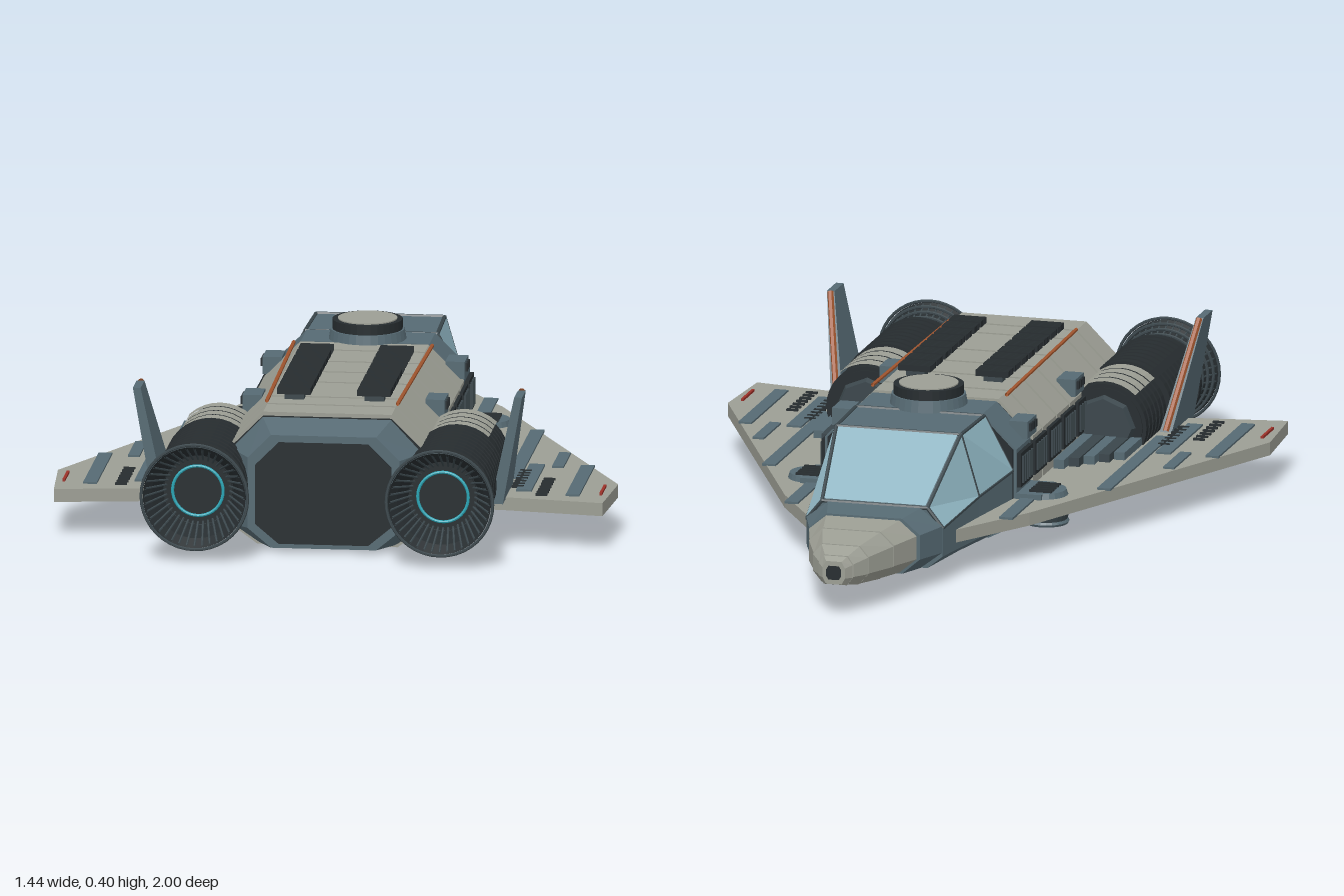
import * as THREE from 'three';

const mat = (color) => new THREE.MeshStandardMaterial({ color, flatShading: true, side: THREE.DoubleSide });
const GREY = mat(0x9c9e94), BLUE = mat(0x566a73), DARK = mat(0x262c2f), GLASS = mat(0x8fb5c2),
  ORANGE = mat(0xa3562f), TEAL = mat(0x2aa5b5), STEEL = mat(0x3a464b), RED = mat(0x9c3028);

function add(parent, name, geo, material, x = 0, y = 0, z = 0) {
  const m = new THREE.Mesh(geo, material);
  m.name = name;
  m.position.set(x, y, z);
  parent.add(m);
  return m;
}
const box = (p, name, material, w, h, d, x, y, z) => add(p, name, new THREE.BoxGeometry(w, h, d), material, x, y, z);
// cylinder along z, r1 at the +z end
const drum = (r1, r2, len, n = 32) => new THREE.CylinderGeometry(r1, r2, len, n).rotateX(Math.PI / 2);

// eight-sided section: half width, bottom, top, half widths of the flat top and bottom, shoulder and chine heights
const oct = (z, w, y0, y1, t, b, sh, ch) => [
  [w, ch, z], [w, sh, z], [t, y1, z], [-t, y1, z], [-w, sh, z], [-w, ch, z], [-b, y0, z], [b, y0, z]];

// skin over sections given in order of increasing z
function loft(sections) {
  const pos = [], tri = (...p) => p.forEach((v) => pos.push(...v));
  const n = sections[0].length;
  for (let k = 0; k + 1 < sections.length; k++) {
    const a = sections[k], c = sections[k + 1];
    for (let i = 0; i < n; i++) {
      const j = (i + 1) % n;
      tri(a[i], a[j], c[j]);
      tri(a[i], c[j], c[i]);
    }
  }
  const lo = sections[0], hi = sections[sections.length - 1];
  for (let i = 1; i + 1 < n; i++) {
    tri(lo[0], lo[i + 1], lo[i]);
    tri(hi[0], hi[i], hi[i + 1]);
  }
  const g = new THREE.BufferGeometry();
  g.setAttribute('position', new THREE.Float32BufferAttribute(pos, 3));
  g.computeVertexNormals();
  return g;
}

// thin plate on four corners, lifted off the skin below
function panel(p, name, corners, material, inset = 0.04, lift = 0.004) {
  const v = corners.map((c) => new THREE.Vector3(...c));
  const mid = v.reduce((s, q) => s.add(q), new THREE.Vector3()).divideScalar(4);
  const n = v[2].clone().sub(v[0]).cross(v[3].clone().sub(v[1])).normalize().multiplyScalar(lift);
  const q = v.map((c) => c.clone().lerp(mid, inset).add(n).toArray());
  const g = new THREE.BufferGeometry();
  g.setAttribute('position', new THREE.Float32BufferAttribute([0, 1, 2, 0, 2, 3].flatMap((i) => q[i]), 3));
  g.computeVertexNormals();
  add(p, name, g, material);
}
function strut(p, name, a, b, r, material) {
  const line = new THREE.LineCurve3(new THREE.Vector3(...a), new THREE.Vector3(...b));
  add(p, name, new THREE.TubeGeometry(line, 1, r, 6), material);
}

function buildHull(g) {
  // main body: dark core with plated bands
  const body = (z, o = 0) => oct(z, 0.25 + o, 0.006 - o + Math.max(0, 0.2 - z) * 0.04, 0.34 + o, 0.165, 0.18, 0.255, 0.055);
  add(g, 'hullCore', loft([body(-0.2, -0.004), body(0.77, -0.004)]), DARK);
  const edges = [-0.055, 0.04, 0.17, 0.29, 0.41, 0.58, 0.67, 0.77];
  for (let i = 0; i + 1 < edges.length; i++)
    add(g, 'hullBand', loft([body(edges[i] + 0.006, 0.006), body(edges[i + 1] - 0.006, 0.006)]), GREY);
  add(g, 'cockpitCollar', loft([body(-0.195, 0.004), body(-0.065, 0.004)]), BLUE);

  // tail block and its end plate
  const tail = (z, w, y0, y1) => oct(z, w, y0, y1, w - 0.06, w - 0.06, y1 - 0.06, y0 + 0.05);
  add(g, 'tailBlock', loft([oct(0.775, 0.245, 0.008, 0.335, 0.165, 0.175, 0.25, 0.055), tail(0.85, 0.195, 0.01, 0.305)]), BLUE);
  add(g, 'tailPlate', loft([tail(0.84, 0.175, 0.022, 0.287), tail(0.856, 0.175, 0.022, 0.287)]), DARK);

  // cockpit, blue with glazed upper faces
  const c0 = oct(-0.62, 0.18, 0.042, 0.2, 0.14, 0.14, 0.15, 0.075);
  const c1 = oct(-0.4, 0.212, 0.034, 0.34, 0.165, 0.16, 0.18, 0.07);
  const c2 = oct(-0.2, 0.245, 0.022, 0.34, 0.17, 0.18, 0.2, 0.06);
  add(g, 'cockpit', loft([c0, c1, c2]), BLUE);
  panel(g, 'windscreen', [c0[2], c0[3], c1[3], c1[2]], GLASS);
  for (const [i, j] of [[1, 2], [3, 4]]) {
    panel(g, 'sideWindow', [c0[i], c0[j], c1[j], c1[i]], GLASS);
    panel(g, 'rearSideWindow', [c1[i], c1[j], c2[j], c2[i]], GLASS);
  }
  for (const i of [1, 2, 3, 4]) {
    strut(g, 'windowFrame', c0[i], c1[i], 0.005, STEEL);
    strut(g, 'windowFrame', c1[i], c2[i], 0.005, STEEL);
  }
  for (const c of [c0, c1, c2])
    for (const i of [1, 2, 3]) strut(g, 'windowFrame', c[i], c[i + 1], 0.005, STEEL);

  // nose rings, growing from the tip
  const nose = (z, w, y0, y1) => oct(z, w, y0, y1, w * 0.68, w * 0.68, y0 + (y1 - y0) * 0.72, y0 + (y1 - y0) * 0.28);
  add(g, 'noseCollar', loft([nose(-0.715, 0.147, 0.048, 0.193), nose(-0.625, 0.18, 0.042, 0.2)]), BLUE);
  add(g, 'noseCore', loft([nose(-0.995, 0.026, 0.09, 0.14), nose(-0.83, 0.1, 0.068, 0.175), nose(-0.6, 0.15, 0.06, 0.18)]), DARK);
  const rings = [[-1, 0.03, 0.085, 0.145], [-0.975, 0.045, 0.08, 0.155], [-0.93, 0.073, 0.073, 0.172],
    [-0.83, 0.112, 0.064, 0.186], [-0.722, 0.143, 0.055, 0.192]];
  for (let i = 0; i < 4; i++) {
    const a = rings[i].slice(), b = rings[i + 1].slice();
    b[0] -= 0.008;
    add(g, 'noseRing', loft([nose(...a), nose(...b)]), GREY);
  }
  add(g, 'noseCap', loft([nose(-1.002, 0.02, 0.097, 0.133), nose(-0.99, 0.02, 0.097, 0.133)]), DARK);

  // roof hatch
  add(g, 'hatchBase', new THREE.CylinderGeometry(0.095, 0.1, 0.03, 32), BLUE, 0, 0.355, -0.12);
  add(g, 'hatchRim', new THREE.CylinderGeometry(0.09, 0.09, 0.03, 32), DARK, 0, 0.38, -0.12);
  add(g, 'hatchLid', new THREE.CylinderGeometry(0.076, 0.076, 0.01, 32), GREY, 0, 0.393, -0.12);
}

function buildSide(g) {
  // roof radiators and pipe
  for (let i = 0; i < 8; i++) {
    const z = 0.13 + i * 0.067;
    box(g, 'radiatorFoot', STEEL, 0.05, 0.025, 0.03, 0.103, 0.353, z);
    for (let k = -2; k <= 2; k++) box(g, 'radiatorSlat', DARK, 0.086, 0.016, 0.007, 0.103, 0.369, z + k * 0.011);
  }
  strut(g, 'roofPipe', [0.178, 0.351, -0.02], [0.168, 0.351, 0.66], 0.005, ORANGE);

  // side vents and shoulder boxes
  for (let i = 0; i < 5; i++) {
    const z = -0.135 + i * 0.133;
    box(g, 'ventFrame', DARK, 0.02, 0.09, 0.11, 0.255, 0.2, z);
    for (let k = -2; k <= 2; k++) box(g, 'ventSlat', STEEL, 0.014, 0.07, 0.008, 0.263, 0.2, z + k * 0.02);
  }
  for (const z of [-0.07, 0.37]) {
    box(g, 'shoulderBox', BLUE, 0.05, 0.045, 0.08, 0.235, 0.285, z);
    for (let k = -1; k <= 1; k++) box(g, 'boxStud', DARK, 0.008, 0.02, 0.012, 0.262, 0.29, z + k * 0.022);
  }

  // wing
  const plan = [[0.15, -0.56], [0.19, -0.54], [0.325, -0.32], [0.72, 0.53], [0.705, 0.75], [0.45, 0.71], [0.2, 0.69]];
  const wing = new THREE.ExtrudeGeometry(new THREE.Shape(plan.map((p) => new THREE.Vector2(...p))),
    { depth: 0.034, bevelEnabled: false }).rotateX(Math.PI / 2);
  add(g, 'wing', wing, GREY, 0, 0.126, 0);

  // wing strips: x, start z, end z, width
  for (const [x, z0, z1, w] of [[0.62, 0.34, 0.68, 0.035], [0.49, 0.34, 0.64, 0.04], [0.445, -0.05, 0.5, 0.036],
    [0.285, -0.4, -0.2, 0.036], [0.545, 0.2, 0.36, 0.03]])
    box(g, 'wingStrip', BLUE, w, 0.006, z1 - z0, x, 0.128, (z0 + z1) / 2);
  for (let i = 0; i < 5; i++)
    box(g, 'wingRootStep', i % 2 ? STEEL : BLUE, 0.028, 0.03, 0.29 - i * 0.03, 0.275 + i * 0.031, 0.135 - i * 0.001, 0.27 + i * 0.017);
  for (let i = 0; i < 7; i++) {
    box(g, 'wingSlot', DARK, 0.03, 0.006, 0.009, 0.54, 0.128, 0.5 + i * 0.03);
    box(g, 'wingSlot', DARK, 0.03, 0.006, 0.009, 0.47, 0.13, 0.42 + i * 0.03);
  }
  box(g, 'wingMarker', RED, 0.007, 0.008, 0.1, 0.69, 0.128, 0.61);

  // lift pods on top of and below the wing
  box(g, 'podCover', BLUE, 0.09, 0.03, 0.14, 0.275, 0.125, -0.125);
  add(g, 'podCover', new THREE.CylinderGeometry(0.06, 0.07, 0.03, 24), BLUE, 0.305, 0.125, -0.125);
  for (let i = 0; i < 5; i++) box(g, 'podSlat', DARK, 0.06, 0.006, 0.008, 0.31, 0.142, -0.165 + i * 0.02);
  for (const z of [-0.11, 0.52]) {
    add(g, 'liftThruster', new THREE.CylinderGeometry(0.065, 0.052, 0.045, 24, 1, true), STEEL, 0.31, 0.075, z);
    add(g, 'liftThrusterRim', new THREE.TorusGeometry(0.052, 0.007, 6, 24).rotateX(Math.PI / 2), BLUE, 0.31, 0.053, z);
    add(g, 'liftThrusterCore', new THREE.CylinderGeometry(0.05, 0.05, 0.01, 24), DARK, 0.31, 0.07, z);
  }
  box(g, 'bellyPlate', DARK, 0.1, 0.02, 0.13, 0.4, 0.086, 0.5);

  // tilted tail fin with a coloured leading edge
  const a = (y, z0, z1, x, t) => [[x + t, y, z0], [x - t, y, z0], [x - t, y, z1], [x + t, y, z1]];
  add(g, 'fin', loft([a(0.4, 0.68, 0.765, 0.49, 0.01), a(0.12, 0.55, 0.765, 0.435, 0.016)]
    .map((s) => s.slice().reverse())), BLUE);
  strut(g, 'finEdge', [0.49, 0.4, 0.678], [0.437, 0.13, 0.552], 0.008, ORANGE);
}

function buildEngine(g) {
  const e = new THREE.Group();
  e.name = 'engine';
  e.position.set(0.315, 0.17, 0);
  g.add(e);
  add(e, 'engineCore', drum(0.108, 0.1, 0.49), DARK, 0, 0, 0.655);
  add(e, 'intakeFace', drum(0.085, 0.075, 0.02, 8), STEEL, 0, 0, 0.405);
  for (let i = 0; i < 15; i++) {
    const r = i < 6 ? 0.11 : 0.121;
    add(e, 'engineRib', drum(r, r, 0.022), DARK, 0, 0, 0.425 + i * 0.0325);
  }
  // curved cover plates over the front part
  for (let i = 0; i < 4; i++)
    add(e, 'engineCover', new THREE.CylinderGeometry(0.117, 0.117, 0.04, 8, 1, true, Math.PI - 0.75, 1.5)
      .rotateX(Math.PI / 2), GREY, 0, 0, 0.435 + i * 0.047);

  // flared nozzle with fins and hoops
  const prof = [[0.088, 0.9], [0.098, 0.935], [0.113, 0.97], [0.132, 1]];
  add(e, 'nozzle', new THREE.LatheGeometry(prof.map((p) => new THREE.Vector2(...p)), 40).rotateX(Math.PI / 2), DARK);
  for (let i = 0; i < 6; i++) {
    const t = i / 5;
    add(e, 'nozzleHoop', new THREE.TorusGeometry(0.094 + 0.043 * t ** 1.3, 0.004, 6, 40), STEEL, 0, 0, 0.908 + 0.088 * t);
  }
  for (let i = 0; i < 40; i++) {
    const q = i / 40 * Math.PI * 2, c = Math.cos(q), s = Math.sin(q);
    strut(e, 'nozzleRod', [0.08 * c, 0.08 * s, 0.91], [0.128 * c, 0.128 * s, 0.998], 0.003, STEEL);
  }
  add(e, 'burnerDisc', drum(0.088, 0.088, 0.01), DARK, 0, 0, 0.91);
  add(e, 'burnerRing', new THREE.TorusGeometry(0.065, 0.004, 8, 40), TEAL, 0, 0, 0.918);
}

export function createModel() {
  const model = new THREE.Group();
  model.name = 'spacecraft';
  buildHull(model);
  for (const s of [1, -1]) {
    const side = new THREE.Group();
    side.name = s > 0 ? 'leftSide' : 'rightSide';
    buildSide(side);
    buildEngine(side);
    side.scale.x = s;
    model.add(side);
  }
  return model;
}
